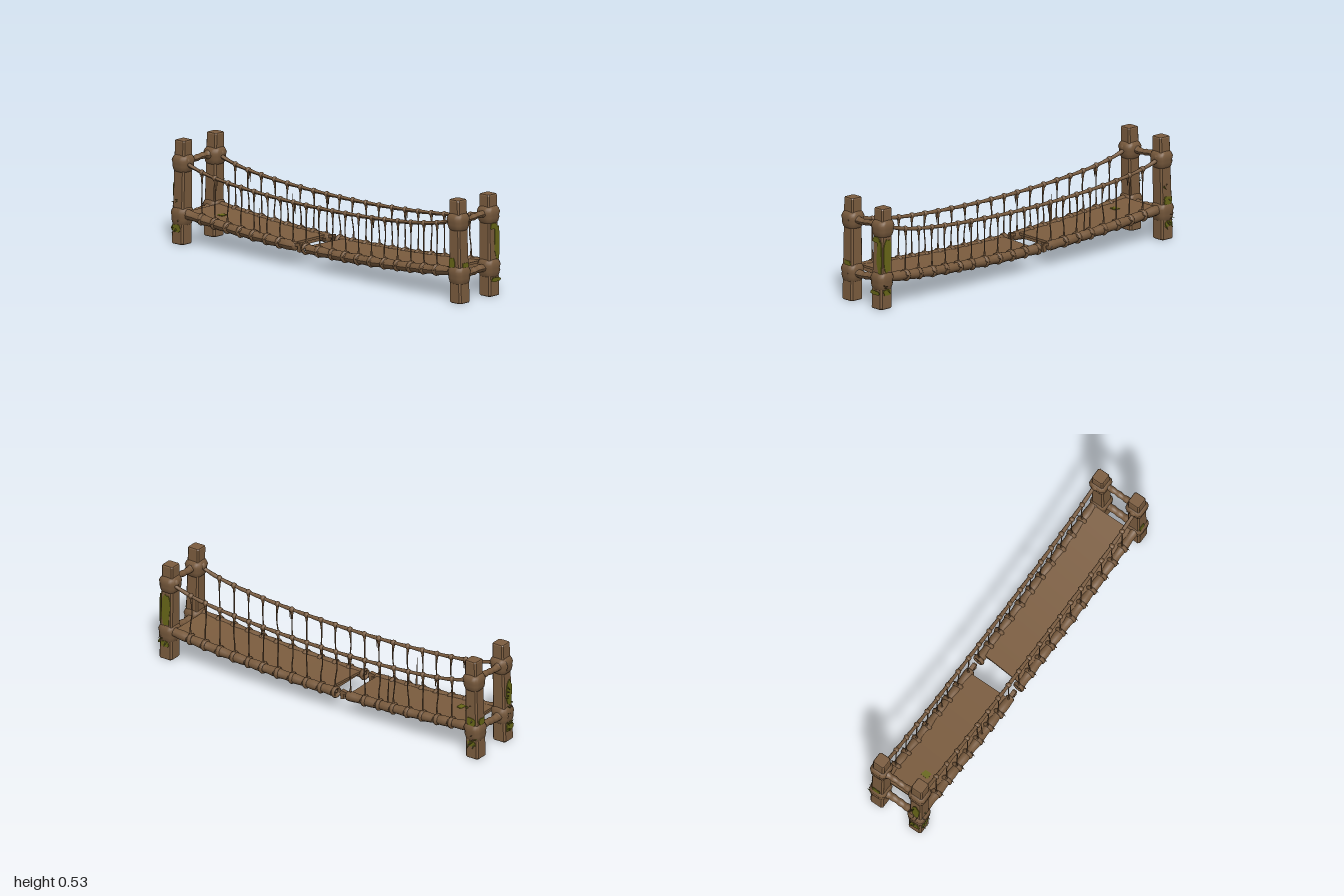
import * as THREE from 'three';
import { mergeVertices } from 'three/addons/utils/BufferGeometryUtils.js';

const wood = new THREE.MeshStandardMaterial({ color: 0x7c5d3f });
wood.name = 'wood brown';
const rope = new THREE.MeshStandardMaterial({ color: 0x785a3d });
rope.name = 'rope brown';
const moss = new THREE.MeshStandardMaterial({ color: 0x696818, side: THREE.DoubleSide });
moss.name = 'moss green';
const bark = new THREE.MeshStandardMaterial({ color: 0x6d5134, side: THREE.DoubleSide });
bark.name = 'bark brown';

// sagging curves of the rails and the deck
const railY = x => 0.333 + 0.07 * x * x + 0.06 * Math.pow(x, 8);
const deckY = x => 0.111 + 0.057 * x * x;
const sides = [{ z: 0.125, s: 1 }, { z: -0.12, s: -1 }];
const GAP_L = -0.175, GAP_R = -0.065;

let seed = 7;
const rnd = () => (seed = (seed * 16807) % 2147483647) / 2147483647;

function add(parent, name, geo, mat, x = 0, y = 0, z = 0) {
  const m = new THREE.Mesh(geo, mat);
  m.name = name;
  m.position.set(x, y, z);
  parent.add(m);
  return m;
}

// closed solid through squarish rings [x, y, z, half width]
function loft(rings, angles, p, smooth) {
  const n = angles.length, pos = [];
  const pt = ([x, y, z, h], j) => {
    const c = Math.cos(angles[j % n]), s = Math.sin(angles[j % n]);
    const r = h / Math.pow(Math.abs(c) ** p + Math.abs(s) ** p, 1 / p);
    return [x + c * r, y, z + s * r];
  };
  const last = rings[rings.length - 1];
  for (let j = 0; j < n; j++) {
    for (let i = 0; i + 1 < rings.length; i++) {
      const a = pt(rings[i], j), b = pt(rings[i], j + 1);
      const c = pt(rings[i + 1], j), d = pt(rings[i + 1], j + 1);
      pos.push(...a, ...c, ...b, ...b, ...c, ...d);
    }
    pos.push(...last.slice(0, 3), ...pt(last, j + 1), ...pt(last, j));
    pos.push(...rings[0].slice(0, 3), ...pt(rings[0], j), ...pt(rings[0], j + 1));
  }
  let g = new THREE.BufferGeometry();
  g.setAttribute('position', new THREE.Float32BufferAttribute(pos, 3));
  if (smooth) g = mergeVertices(g, 1e-4);
  g.computeVertexNormals();
  return g;
}
const postAngles = [0, 1, 2, 3].flatMap(k => [k * Math.PI / 2 - 0.66, k * Math.PI / 2 + 0.66]);
const roundAngles = Array.from({ length: 20 }, (_, k) => k * Math.PI / 10);

// tube whose thickness varies along its length
function lumpyTube(points, n, radial, radius) {
  const path = new THREE.CatmullRomCurve3(points);
  const g = new THREE.TubeGeometry(path, n, 1, radial);
  const p = g.attributes.position, v = new THREE.Vector3();
  for (let i = 0; i <= n; i++) {
    const c = path.getPointAt(i / n), r = radius(i / n, c);
    for (let j = 0; j <= radial; j++) {
      const k = i * (radial + 1) + j;
      v.fromBufferAttribute(p, k).sub(c).multiplyScalar(r).add(c);
      p.setXYZ(k, v.x, v.y, v.z);
    }
  }
  g.computeVertexNormals();
  return g;
}
const along = (x0, x1, f, z, n = 14) => Array.from({ length: n + 1 }, (_, i) => {
  const x = x0 + (x1 - x0) * i / n;
  return new THREE.Vector3(x, f(x), z);
});

// ragged thin moss patch; ry turns it to face outward
function mossPatch(parent, x, y, z, w, h, ry, rx = 0) {
  const pts = [];
  for (let k = 0; k < 14; k++) {
    const a = k / 14 * Math.PI * 2, r = 0.8 + 0.3 * rnd();
    const q = Math.pow(Math.cos(a) ** 4 + Math.sin(a) ** 4, -0.25) * r / 2;
    pts.push(new THREE.Vector2(Math.cos(a) * w * q, Math.sin(a) * h * q));
  }
  const g = new THREE.ExtrudeGeometry(new THREE.Shape(pts), { depth: 0.004, bevelEnabled: false });
  add(parent, 'mossPatch', g, moss, x, y, z).rotation.set(rx, ry, 0);
}

// pointed flat leaves sticking out of a post
function tuft(parent, x, y, z, dx, dz, count, height) {
  for (let k = 0; k < count; k++) {
    const g = new THREE.ConeGeometry(0.01, 0.036, 3);
    g.scale(1, 1, 0.3);
    const t = (rnd() - 0.5) * 0.05;
    const m = add(parent, 'leaf', g, k % 3 ? moss : bark, x + dz * t, y + (rnd() - 0.5) * height, z + dx * t);
    const d = new THREE.Vector3(dx, rnd() * 1.6 - 1, dz).normalize();
    m.quaternion.setFromUnitVectors(new THREE.Vector3(0, 1, 0), d);
  }
}

export function createModel() {
  const root = new THREE.Group();
  root.name = 'ropeBridge';

  // end posts: [bottom x, bottom z, top x, top z, top y]
  const posts = [
    [-0.943, 0.119, -0.930, 0.119, 0.535], [-0.943, -0.115, -0.930, -0.115, 0.535],
    [0.945, 0.114, 0.936, 0.119, 0.53], [0.945, -0.103, 0.936, -0.104, 0.521],
  ];
  for (const [bx, bz, tx, tz, ty] of posts) {
    const post = new THREE.Group();
    post.name = 'endPost';
    root.add(post);
    const at = (y, h) => [bx + (tx - bx) * y / ty, y, bz + (tz - bz) * y / ty, h];
    add(post, 'postTrunk', loft([at(0.002, 0.035), at(0.008, 0.039), at(0.2, 0.037),
      at(0.4, 0.035), at(ty - 0.006, 0.034), at(ty, 0.031)], postAngles, 20, false), wood);
    // rope lashings around the post
    for (const [y, hs] of [[0.145, 0.05], [0.417, 0.045]]) {
      add(post, 'lashing', loft([at(y - hs, 0.034), at(y - hs * 0.75, 0.041), at(y - hs * 0.3, 0.046),
        at(y, 0.045), at(y + hs * 0.35, 0.049), at(y + hs * 0.7, 0.043), at(y + hs, 0.034)],
      roundAngles, 5, true), rope);
      const s = Math.sign(bx);
      const knot = add(post, 'lashingKnot', new THREE.SphereGeometry(0.03, 10, 8), rope,
        bx - s * 0.035, y + 0.012, bz + Math.sign(bz) * 0.008);
      knot.scale.set(0.9, 0.85, 0.9);
    }
  }

  // cross ties between the two posts of each end
  for (const s of [-1, 1]) {
    for (const [y, r] of [[0.145, 0.019], [0.422, 0.016]]) {
      const x = s * 0.942;
      add(root, 'crossTie', lumpyTube([
        new THREE.Vector3(x, y, 0.1), new THREE.Vector3(x, y - 0.004, 0.04),
        new THREE.Vector3(x, y + 0.003, -0.03), new THREE.Vector3(x, y, -0.095)],
      24, 10, t => r + 0.028 * Math.pow(Math.abs(2 * t - 1), 5) + 0.0015 * Math.sin(t * 30)), rope);
    }
  }

  // deck halves on either side of the break, with slats underneath
  for (const [x0, x1, end] of [[-0.895, GAP_L, 1], [GAP_R, 0.895, -1]]) {
    const len = x1 - x0;
    const g = new THREE.BoxGeometry(len, 0.012, 0.235, 14, 1, 1);
    const p = g.attributes.position;
    for (let i = 0; i < p.count; i++) {
      let x = p.getX(i) + (x0 + x1) / 2;
      const y = p.getY(i) + deckY(x) + 0.011;
      if (end < 0 && x < x0 + 0.001) x -= p.getZ(i) * 0.08;
      p.setXYZ(i, x, y, p.getZ(i) + 0.003);
    }
    g.computeVertexNormals();
    add(root, 'deck', g, wood);
    const n = Math.round(len / 0.076);
    for (let i = 0; i < n; i++) {
      const x = x0 + (i + 0.5) * len / n;
      const slat = add(root, 'slat', new THREE.BoxGeometry(0.052, 0.02, 0.225), wood,
        x, deckY(x) - 0.004, 0.003);
      slat.rotation.z = Math.atan(0.114 * x) + (rnd() - 0.5) * 0.06;
    }
  }

  for (const { z, s } of sides) {
    const side = new THREE.Group();
    side.name = s > 0 ? 'frontRopes' : 'backRopes';
    root.add(side);
    // hand rail
    add(side, 'handRail', lumpyTube(along(-0.93, 0.93, railY, z, 24), 110, 8,
      (t, c) => 0.0095 + 0.001 * Math.sin(c.x * 70) + 0.012 * Math.pow(Math.abs(c.x), 20)), rope);
    // thick deck ropes, torn at the break
    for (const [x0, x1] of [[-0.93, -0.165], [-0.075, 0.93]]) {
      add(side, 'deckRope', lumpyTube(along(x0, x1, deckY, z), 60, 10,
        (t, c) => 0.0245 + 0.0018 * Math.sin(c.x * 55 + s)), rope);
      const e = x0 < -0.5 ? x1 : x0;
      const cap = add(side, 'tornEnd', new THREE.SphereGeometry(0.024, 8, 6), rope, e, deckY(e), z);
      cap.scale.x = 0.5;
    }
    // frayed scraps hanging in the break
    add(side, 'tornScrap', new THREE.BoxGeometry(0.045, 0.016, 0.022), rope, -0.147, 0.124, z).rotation.z = 0.15;
    add(side, 'tornScrap', new THREE.BoxGeometry(0.02, 0.04, 0.02), rope, -0.131, 0.108, z).rotation.z = -0.2;

    // hangers with a knot above and a wrap below
    for (let i = 0; i < 19; i++) {
      const x = -0.8 + i * 1.6 / 18;
      const yt = railY(x), yb = deckY(x), h = yt - yb;
      const knot = add(side, 'railKnot', new THREE.IcosahedronGeometry(0.0155, 1), rope, x, yt, z);
      knot.scale.set(0.9, 1, 1);
      knot.rotation.y = rnd() * 3;
      const lean = (rnd() - 0.5) * 0.012;
      add(side, 'hanger', lumpyTube([
        new THREE.Vector3(x, yt, z), new THREE.Vector3(x + lean, yt - h * 0.4, z),
        new THREE.Vector3(x - lean * 0.5, yb + h * 0.3, z + s * 0.002), new THREE.Vector3(x, yb, z)],
      12, 5, t => 0.0032 + 0.008 * Math.pow(Math.abs(2 * t - 1), 4)), rope);
      if (i === 4) {
        const f = add(side, 'frayedStrand', new THREE.ConeGeometry(0.006, 0.16, 4), rope, x + 0.035, yb + 0.1, z);
        f.rotation.z = 0.04;
      }
      if (i % 6 === 1) {
        add(side, 'looseEnd', new THREE.ConeGeometry(0.007, 0.06, 4), rope, x + 0.012, yt - 0.035, z).rotation.z = Math.PI;
      }
      if (i === 7) continue;
      const wrap = add(side, 'ropeWrap', new THREE.TorusGeometry(0.0245, 0.0075, 6, 14), rope, x, yb, z);
      wrap.rotation.y = Math.PI / 2 + (rnd() - 0.5) * 0.3;
      wrap.scale.z = 1.5;
      const tie = add(side, 'tieEnd', new THREE.ConeGeometry(0.009, 0.03, 4), rope, x + 0.01, yb + 0.008, z + s * 0.026);
      tie.rotation.x = s * (Math.PI / 2 + 0.4);
    }
  }

  // moss and leaves on the posts and a spot on the deck
  const growth = new THREE.Group();
  growth.name = 'growth';
  root.add(growth);
  const R = Math.PI / 2;
  mossPatch(growth, 0.976, 0.28, -0.122, 0.034, 0.18, R);
  mossPatch(growth, 0.976, 0.36, -0.1, 0.05, 0.03, R);
  mossPatch(growth, 0.988, 0.088, -0.105, 0.062, 0.022, R);
  mossPatch(growth, 0.94, 0.28, -0.139, 0.05, 0.18, 2 * R);
  mossPatch(growth, 0.945, 0.09, -0.142, 0.05, 0.03, 2 * R);
  mossPatch(growth, 0.978, 0.195, 0.112, 0.045, 0.026, R);
  mossPatch(growth, 0.93, 0.205, 0.152, 0.04, 0.06, 0);
  mossPatch(growth, -0.974, 0.265, 0.122, 0.045, 0.14, -R);
  mossPatch(growth, -0.981, 0.085, 0.119, 0.06, 0.05, -R);
  mossPatch(growth, -0.945, 0.085, 0.156, 0.05, 0.04, 0);
  mossPatch(growth, -0.94, 0.205, -0.152, 0.05, 0.04, 2 * R);
  mossPatch(growth, -0.978, 0.205, -0.115, 0.05, 0.035, -R);
  mossPatch(growth, -0.945, 0.085, -0.153, 0.045, 0.03, 2 * R);
  mossPatch(growth, -0.75, deckY(-0.75) + 0.0165, 0.03, 0.04, 0.045, 0, -R);
  tuft(growth, -0.978, 0.24, 0.12, -1, 0, 9, 0.18);
  tuft(growth, -0.982, 0.09, 0.12, -1, 0, 6, 0.05);
  tuft(growth, -0.945, 0.1, 0.16, 0, 1, 6, 0.07);
  tuft(growth, -0.94, 0.215, 0.155, 0, 1, 3, 0.05);
  tuft(growth, -0.945, 0.1, -0.16, 0, -1, 7, 0.07);
  tuft(growth, -0.94, 0.25, -0.155, 0, -1, 4, 0.1);
  tuft(growth, 0.945, 0.1, -0.15, 0, -1, 4, 0.06);
  return root;
}
